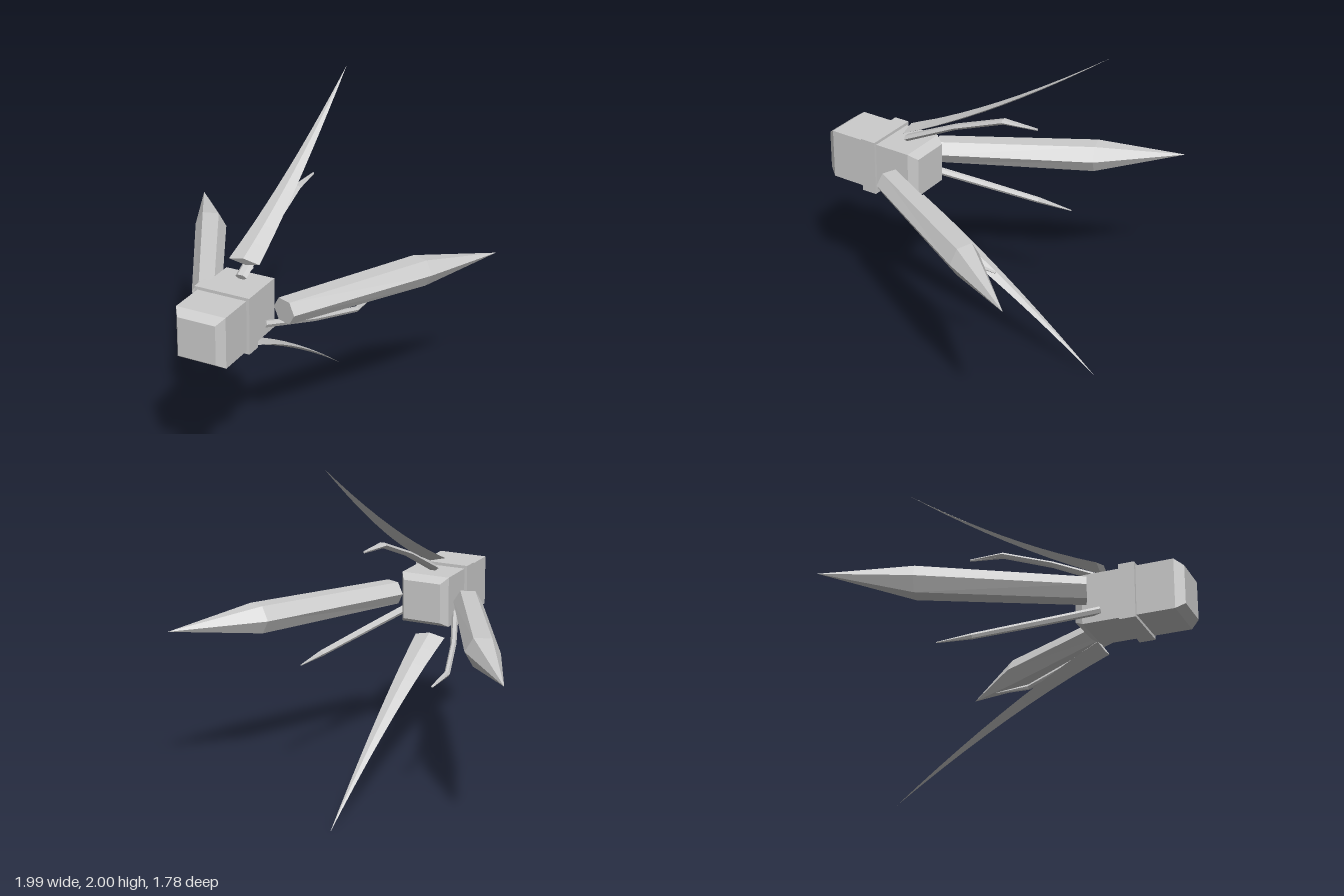
import * as THREE from 'three';

const grey = new THREE.MeshStandardMaterial({ color: 0xcccccc });
grey.name = 'grey';

// Skins equal-sized rings of [x, y, z] points, with caps, as flat facets facing outward.
function loft(name, rings) {
  const tris = [];
  const n = rings[0].length;
  for (let r = 0; r < rings.length - 1; r++) {
    for (let i = 0; i < n; i++) {
      const j = (i + 1) % n;
      const a = rings[r][i], b = rings[r][j], c = rings[r + 1][j], d = rings[r + 1][i];
      tris.push([a, b, c], [a, c, d]);
    }
  }
  const first = rings[0], last = rings[rings.length - 1];
  for (let i = 1; i < n - 1; i++) {
    tris.push([first[0], first[i + 1], first[i]], [last[0], last[i], last[i + 1]]);
  }
  // A negative enclosed volume means the facets are inside out
  const v = tris.map((t) => t.map((p) => new THREE.Vector3(...p)));
  const volume = v.reduce((s, [a, b, c]) => s + a.dot(b.clone().cross(c)), 0);
  const points = v.flatMap(([a, b, c]) => (volume < 0 ? [a, c, b] : [a, b, c]));
  const geometry = new THREE.BufferGeometry().setFromPoints(points);
  geometry.computeVertexNormals();
  const mesh = new THREE.Mesh(geometry, grey);
  mesh.name = name;
  return mesh;
}

// Square ring across z
const square = (s, z) => [[-s, -s, z], [s, -s, z], [s, s, z], [-s, s, z]];

// Six-sided upright ring between an inner and an outer [x, z] corner
function armRing(inner, outer, h, side) {
  return [[0, 0], [0.24, h], [0.76, h], [1, 0], [0.76, -h], [0.24, -h]].map(([t, y]) => [
    side * THREE.MathUtils.lerp(inner[0], outer[0], t), y,
    THREE.MathUtils.lerp(inner[1], outer[1], t)]);
}

// Six-sided ring across a spine that runs in the yz plane
function spineRing(y, z, w, t, slope) {
  const c = Math.cos(slope), s = Math.sin(slope);
  return [[-1, 0], [-0.5, 1], [0.5, 1], [1, 0], [0.5, -1], [-0.5, -1]]
    .map(([u, v]) => [u * w, y + v * t * c, z + v * t * s]);
}

export function createModel() {
  const model = new THREE.Group();
  const core = new THREE.Group(); // everything is laid out around the core's axis
  core.name = 'core';
  core.position.y = 1;
  model.add(core);

  // Chamfered block and its collar
  core.add(loft('body', [square(0.118, 0.25), square(0.15, 0.302), square(0.15, 0.84), square(0.115, 0.89)]));
  const collar = new THREE.Mesh(new THREE.BoxGeometry(0.336, 0.336, 0.095), grey);
  collar.name = 'collar';
  collar.position.z = 0.572;
  core.add(collar);

  // Heavy hexagonal side arms ending in bent points
  for (const side of [-1, 1]) {
    core.add(loft(side > 0 ? 'leftArm' : 'rightArm', [
      armRing([0.165, 0.335], [0.322, 0.397], 0.066, side),
      armRing([0.602, -0.485], [0.785, -0.425], 0.08, side),
      armRing([0.997, -0.89], [0.997, -0.89], 0, side)]));
  }

  // Curved diamond-section blades above and below
  const curve = new THREE.QuadraticBezierCurve(
    new THREE.Vector2(0.37, 0.245), new THREE.Vector2(-0.2, 0.5), new THREE.Vector2(-0.89, 1));
  const steps = 10;
  for (const side of [1, -1]) {
    const rings = [];
    for (let i = 0; i <= steps; i++) {
      const f = i / steps, p = curve.getPoint(f), d = curve.getTangent(f);
      const w = 0.095 * (1 - f), t = 0.025 * (1 - f);
      rings.push([[-w, 0], [0, 1], [w, 0], [0, -1]].map(([x, v]) =>
        [x, side * (p.y - v * t * d.x), p.x + v * t * d.y]));
    }
    core.add(loft(side > 0 ? 'upperBlade' : 'lowerBlade', rings));
  }

  // Three thin claws, one above and two low at the sides
  [['upperClaw', 0, 0.035], ['leftClaw', -1, 0.023], ['rightClaw', 1, 0.023]].forEach(([name, turn, w]) => {
    const claw = loft(name, [
      spineRing(0.168, 0.408, w, 0.017, 0.45),
      spineRing(0.333, 0.07, w * 0.9, 0.014, 0.42),
      spineRing(0.457, -0.25, w * 0.75, 0.014, 0.2),
      spineRing(0.467, -0.465, w * 0.15, 0.006, 0.03)]);
    claw.rotation.z = turn * THREE.MathUtils.degToRad(120);
    core.add(claw);
  });

  return model;
}
